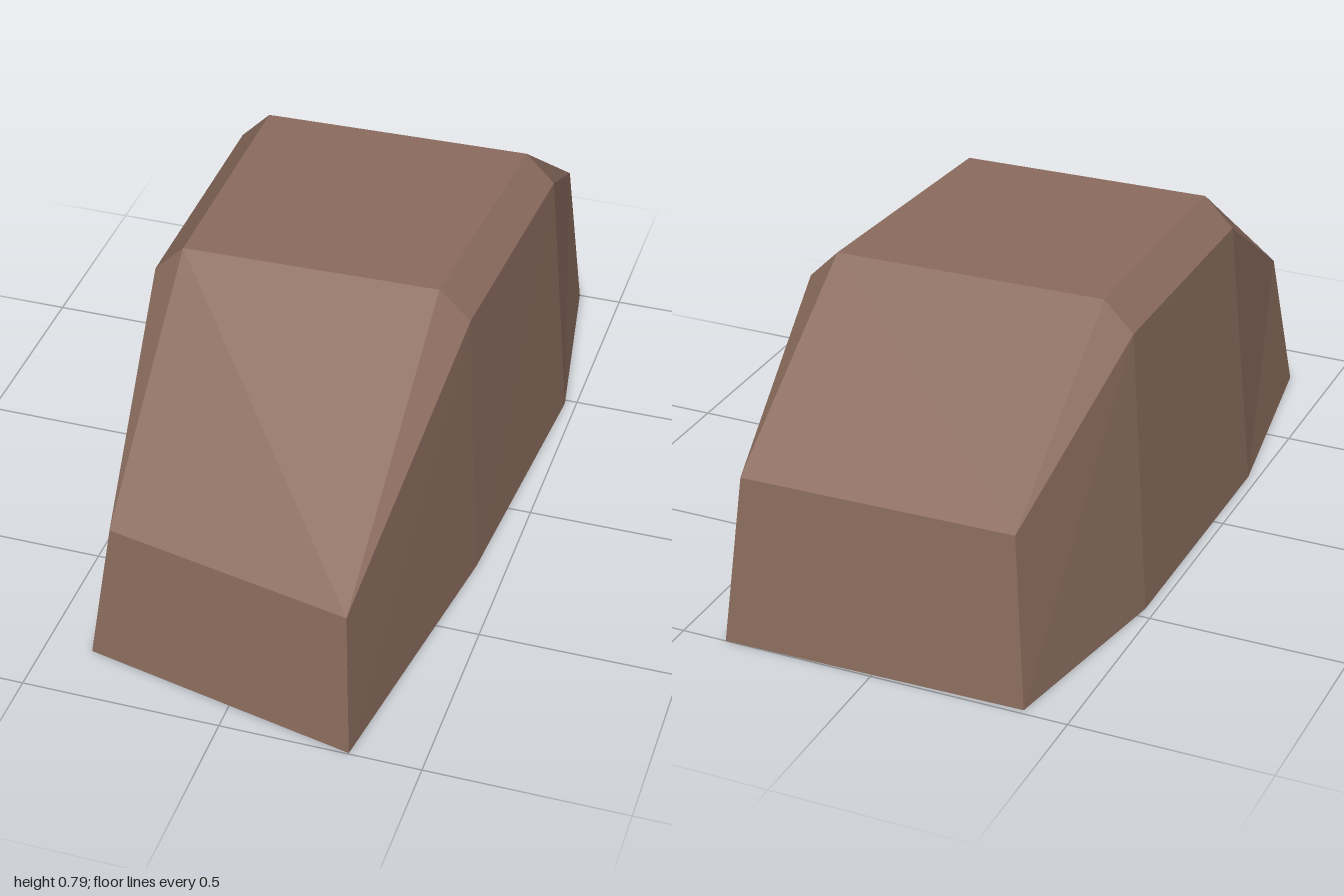
import * as THREE from 'three';

const brown = new THREE.MeshStandardMaterial({ color: 0x8b6c5e, side: THREE.DoubleSide });
brown.name = 'warm brown';

// Cross-sections from back to front. Each runs over the top from -x to +x:
// rim, shoulder, roof edge, roof edge, shoulder, rim.
// At both ends the shoulder and the roof edge meet in one corner.
const backLeft = [-0.347, 0.43, -0.945], backRight = [0.347, 0.43, -0.957];
const frontLeft = [-0.333, 0.364, 0.808], frontRight = [0.299, 0.367, 0.946];
const sections = [
  [[-0.385, 0, -0.986], backLeft, backLeft, backRight, backRight, [0.385, 0, -1]],
  [[-0.474, 0, -0.463], [-0.421, 0.718, -0.434], [-0.346, 0.793, -0.434],
    [0.343, 0.793, -0.45], [0.418, 0.718, -0.45], [0.47, 0, -0.485]],
  [[-0.474, 0, 0.257], [-0.421, 0.718, 0.223], [-0.346, 0.793, 0.223],
    [0.3, 0.793, 0.208], [0.379, 0.718, 0.208], [0.424, 0, 0.25]],
  [[-0.383, 0, 0.842], frontLeft, frontLeft, frontRight, frontRight, [0.321, 0, 0.997]],
];

// Flat-shaded mesh from four-cornered faces; a face with a doubled corner becomes a triangle
function shell(name, quads) {
  const points = [];
  for (const [a, b, c, d] of quads) {
    for (const tri of [[a, b, c], [a, c, d]]) {
      if (new Set(tri).size === 3) points.push(...tri.flat());
    }
  }
  const geometry = new THREE.BufferGeometry();
  geometry.setAttribute('position', new THREE.Float32BufferAttribute(points, 3));
  geometry.computeVertexNormals();
  const mesh = new THREE.Mesh(geometry, brown);
  mesh.name = name;
  return mesh;
}

export function createModel() {
  const group = new THREE.Group();
  group.name = 'bodyShell';

  // Long strips running from back to front
  ['rightSide', 'rightBevel', 'roofAndSlopes', 'leftBevel', 'leftSide'].forEach((name, i) => {
    const quads = [];
    for (let k = 0; k < 3; k++) {
      const [s, t] = [sections[k], sections[k + 1]];
      quads.push([s[i], t[i], t[i + 1], s[i + 1]]);
    }
    group.add(shell(name, quads));
  });

  // End walls; the underside stays open
  const [back, front] = [sections[0], sections[3]];
  group.add(shell('backWall', [[back[0], backLeft, backRight, back[5]]]));
  group.add(shell('frontWall', [[front[0], front[5], frontRight, frontLeft]]));
  return group;
}
